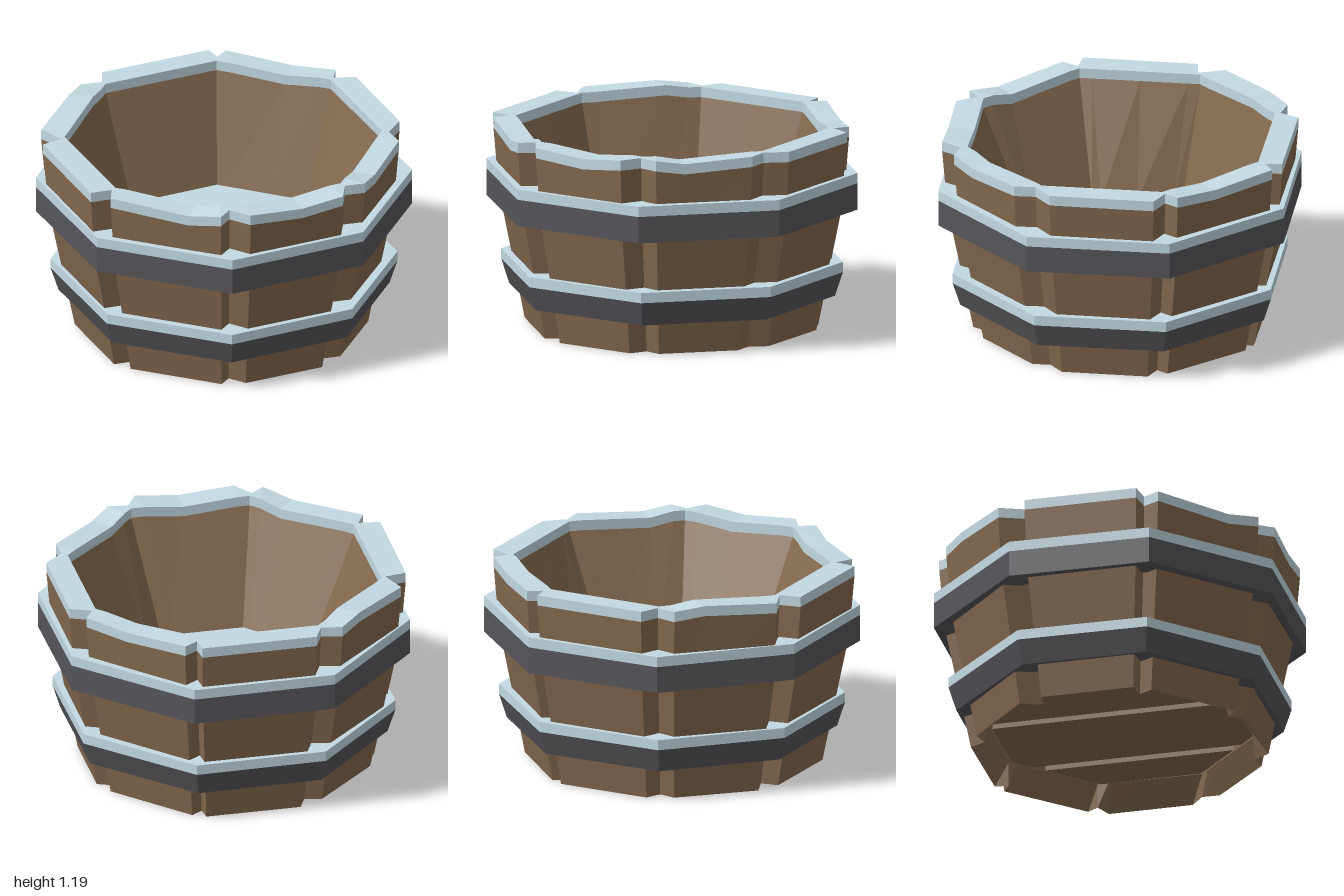
import * as THREE from 'three';

const wood = new THREE.MeshStandardMaterial({ color: 0x856a4f });
wood.name = 'brown wood';
const iron = new THREE.MeshStandardMaterial({ color: 0x56555a });
iron.name = 'dark iron';
const frost = new THREE.MeshStandardMaterial({ color: 0xc3d9e2 });
frost.name = 'pale frost';
for (const m of [wood, iron, frost]) m.flatShading = true;

// Flat-shaded skin through closed loops; optional fan closing the first or last loop.
function loft(name, material, loops, { capStart = false, capEnd = false } = {}) {
  const pos = [];
  const tri = (a, b, c) => pos.push(...a, ...b, ...c);
  const n = loops[0].length;
  for (let k = 0; k + 1 < loops.length; k++) {
    const a = loops[k], b = loops[k + 1];
    for (let i = 0; i < n; i++) {
      const j = (i + 1) % n;
      tri(a[i], a[j], b[j]);
      tri(a[i], b[j], b[i]);
    }
  }
  const fan = (loop, flip) => {
    const c = [0, loop[0][1], 0];
    for (let i = 0; i < n; i++) {
      const j = (i + 1) % n;
      if (flip) tri(loop[j], loop[i], c);
      else tri(loop[i], loop[j], c);
    }
  };
  if (capStart) fan(loops[0], true);
  if (capEnd) fan(loops[loops.length - 1], false);
  const g = new THREE.BufferGeometry();
  g.setAttribute('position', new THREE.Float32BufferAttribute(pos, 3));
  g.computeVertexNormals();
  const mesh = new THREE.Mesh(g, material);
  mesh.name = name;
  return mesh;
}

// Staves at the rim, from the front round to +x:
// [start x, z, end x, z, height of the dent or bump, its place along the stave]
const staves = [
  [-0.28, 0.985, 0.30, 0.985, -0.025, 0.56], [0.48, 0.89, 0.875, 0.49, -0.025, 0.3],
  [0.98, 0.27, 0.98, -0.33, 0, 0.5], [0.91, -0.46, 0.44, -0.94, -0.02, 0.4],
  [0.35, -0.985, -0.32, -0.985, 0, 0.5], [-0.49, -0.90, -0.93, -0.48, 0.02, 0.3],
  [-0.995, -0.31, -0.995, 0.35, 0, 0.5], [-0.92, 0.46, -0.44, 0.93, -0.03, 0.7],
];
// Notch before each stave, and the inner corners at the rim and at the floor
const notches = [[-0.36, 0.87], [0.365, 0.87], [0.87, 0.365], [0.86, -0.38],
  [0.36, -0.89], [-0.37, -0.875], [-0.87, -0.33], [-0.87, 0.365]];
const rimCorners = [[-0.34, 0.835], [0.355, 0.83], [0.84, 0.335], [0.835, -0.36],
  [0.335, -0.845], [-0.36, -0.845], [-0.845, -0.345], [-0.84, 0.35]];
const floorCorners = [[-0.24, 0.57], [0.24, 0.57], [0.57, 0.24], [0.65, -0.28],
  [0.26, -0.67], [-0.28, -0.665], [-0.67, -0.27], [-0.57, 0.24]];
const baseCorners = notches.map(([x, z]) => [x * 0.825, z * 0.825]);

// Notched outer loop at height y, scaled by s
function outerLoop(y, s = 1, sag = 0) {
  return staves.flatMap(([ax, az, bx, bz, dip, t], i) => [
    [notches[i][0] * s, y, notches[i][1] * s],
    [ax * s, y, az * s],
    [(ax + (bx - ax) * t) * s, y + dip * sag, (az + (bz - az) * t) * s],
    [bx * s, y, bz * s],
  ]);
}

// Inner octagon, divided to match the outer loop
function innerLoop(corners, y, sag = 0) {
  return corners.flatMap(([ax, az], i) => {
    const [bx, bz] = corners[(i + 1) % 8];
    const [, , , , dip, mid] = staves[i];
    return [0, 0.1, mid, 0.9].map((t, k) =>
      [ax + (bx - ax) * t, y + (k === 2 ? dip * sag : 0), az + (bz - az) * t]);
  });
}

// Regular octagon, turned very slightly from the axes
function octagon(apothem, y) {
  const r = apothem / Math.cos(Math.PI / 8);
  return Array.from({ length: 8 }, (_, i) => {
    const a = (i - 0.5) * Math.PI / 4 + 0.013;
    return [r * Math.sin(a), y, r * Math.cos(a)];
  });
}

// Iron hoop with a frosted upper edge; outer apothems at bottom and top
function hoop(name, y0, y1, y2, low, high, inner) {
  const g = new THREE.Group();
  g.name = name;
  g.add(loft('hoopBand', iron, [octagon(inner, y0), octagon(low, y0), octagon(high, y1)]));
  g.add(loft('hoopFrost', frost, [octagon(high, y1), octagon(high, y2), octagon(inner, y2)]));
  return g;
}

// Bottom board running along z, clipped to an octagon
function bottomBoard(x0, x1) {
  const a = 0.71;
  const half = (x) => Math.min(a, a * Math.SQRT2 - Math.abs(x));
  const bend = a * Math.tan(Math.PI / 8);
  const xs = [x0, ...[-bend, bend].filter((x) => x > x0 && x < x1), x1];
  const pts = [...xs.map((x) => [x, -half(x)]), ...xs.reverse().map((x) => [x, half(x)])];
  const shape = new THREE.Shape(pts.map(([x, z]) => new THREE.Vector2(x, z)));
  const g = new THREE.ExtrudeGeometry(shape, { depth: 0.05, bevelEnabled: false });
  g.rotateX(Math.PI / 2);
  g.translate(0, 0.195, 0);
  const mesh = new THREE.Mesh(g, wood);
  mesh.name = 'bottomBoard';
  return mesh;
}

export function createModel() {
  const tub = new THREE.Group();
  tub.name = 'woodenTub';

  // Recessed underside, chamfered stave feet and the gently bulging outside
  tub.add(loft('staves', wood, [
    innerLoop(baseCorners, 0.19), innerLoop(baseCorners, 0.145), outerLoop(0, 0.825),
    outerLoop(0.39, 0.9), outerLoop(0.75, 0.97), outerLoop(1.11, 1, 1),
  ], { capStart: true }));

  // Frosted rim
  tub.add(loft('rimFrost', frost, [
    outerLoop(1.11, 1, 1), outerLoop(1.17, 1, 1),
    innerLoop(rimCorners, 1.17, 1), innerLoop(rimCorners, 1.11, 1),
  ]));

  // Inside wall and frosted filling
  const floor = innerLoop(floorCorners, 0.47);
  tub.add(loft('innerWall', wood, [innerLoop(rimCorners, 1.11, 1), floor]));
  tub.add(loft('filling', frost, [floor], { capEnd: true }));

  tub.add(hoop('upperHoop', 0.70, 0.855, 0.915, 0.995, 0.995, 0.86));
  tub.add(hoop('lowerHoop', 0.19, 0.33, 0.39, 0.875, 0.917, 0.76));

  // Boards under the tub, with gaps between them
  for (const [a, b] of [[-0.71, -0.23], [-0.17, 0.39], [0.45, 0.71]]) tub.add(bottomBoard(a, b));
  return tub;
}
